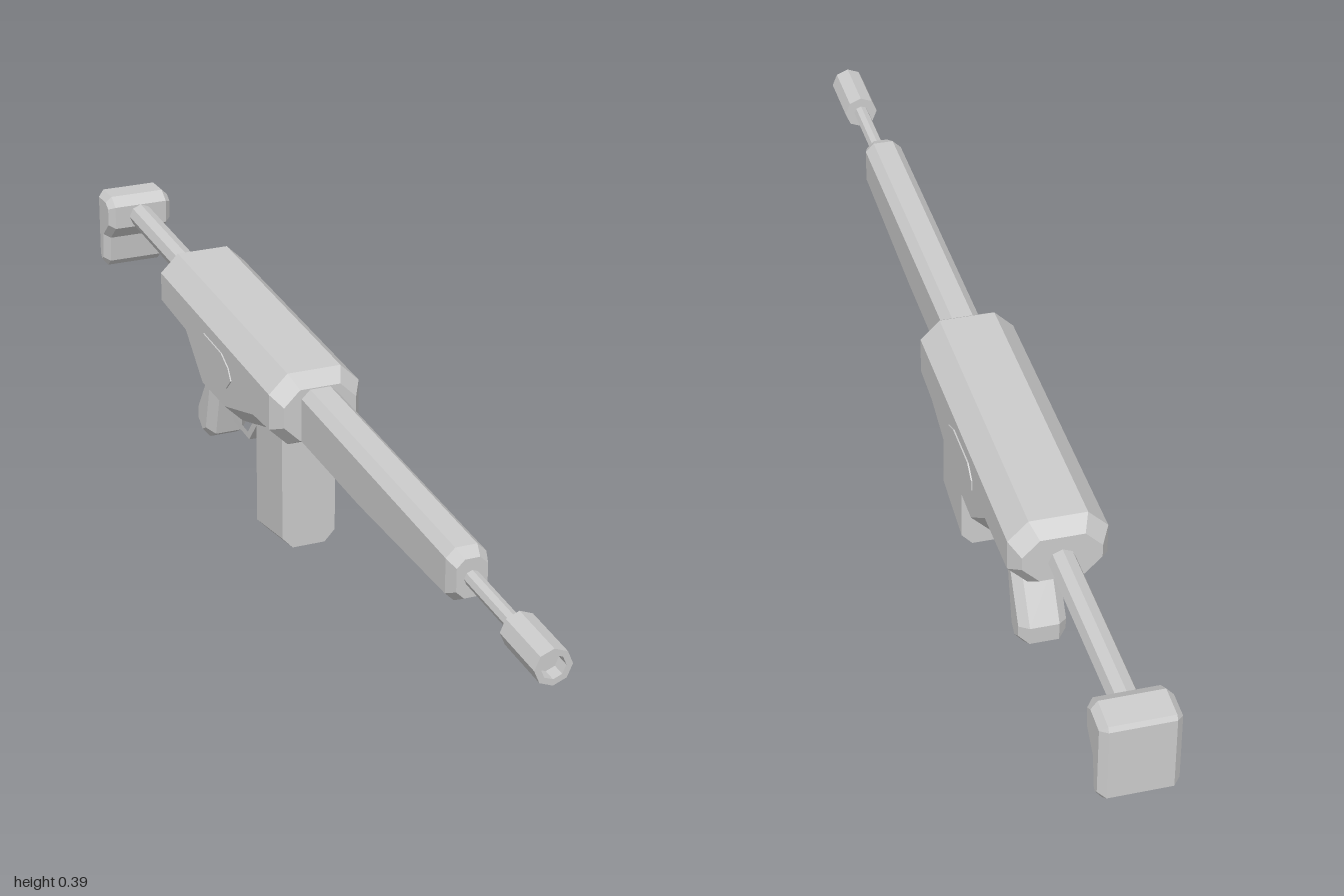
import * as THREE from 'three';

const material = new THREE.MeshStandardMaterial({ color: 0xcccccc, flatShading: true });

// Loft along z through chamfered rectangles: [z, halfWidth, top, bottom, chamfer], front to back
function loft(sections) {
  const positions = [];
  const rings = sections.map(([z, w, t, b, c]) => [
    [w, b + c], [w, t - c], [w - c, t], [c - w, t],
    [-w, t - c], [-w, b + c], [c - w, b], [w - c, b],
  ].map(([x, y]) => [x, y, z]));
  const tri = (...points) => points.forEach((p) => positions.push(...p));
  const last = rings[rings.length - 1];
  for (let i = 0; i < 8; i++) {
    const j = (i + 1) % 8;
    for (let s = 0; s < rings.length - 1; s++) {
      const front = rings[s], back = rings[s + 1];
      tri(front[i], back[i], front[j]);
      tri(front[j], back[i], back[j]);
    }
    if (i > 0 && i < 7) {
      tri(rings[0][0], rings[0][i], rings[0][j]);
      tri(last[0], last[j], last[i]);
    }
  }
  const geometry = new THREE.BufferGeometry();
  geometry.setAttribute('position', new THREE.Float32BufferAttribute(positions, 3));
  geometry.computeVertexNormals();
  return geometry;
}

// Side profile of [z, y] points extruded across x, with an optional chamfer
function sideProfile(points, width, bevel = 0, hole = null) {
  const toVectors = (list) => list.map(([z, y]) => new THREE.Vector2(z, y));
  const shape = new THREE.Shape(toVectors(points));
  if (hole) shape.holes.push(new THREE.Path(toVectors(hole)));
  const depth = width - 2 * bevel;
  const geometry = new THREE.ExtrudeGeometry(shape, {
    depth, bevelEnabled: bevel > 0, bevelThickness: bevel,
    bevelSize: bevel, bevelOffset: -bevel, bevelSegments: 1,
  });
  return geometry.translate(0, 0, -depth / 2).rotateY(-Math.PI / 2);
}

// Octagonal turned part along z from [radius, z] points, back to front
function turned(points, y = 0.32) {
  return new THREE.LatheGeometry(points.map(([r, z]) => new THREE.Vector2(r, z)), 8)
    .rotateX(Math.PI / 2).translate(0, y, 0);
}

export function createModel() {
  const model = new THREE.Group();
  const add = (name, geometry) => {
    const mesh = new THREE.Mesh(geometry, material);
    mesh.name = name;
    model.add(mesh);
  };

  // Main body, deeper below the middle
  add('receiver', loft([
    [0.07, 0.068, 0.367, 0.268, 0.03],
    [0.04, 0.085, 0.388, 0.25, 0.035],
    [-0.04, 0.085, 0.388, 0.243, 0.035],
    [-0.19, 0.085, 0.388, 0.192, 0.035],
    [-0.31, 0.085, 0.388, 0.188, 0.035],
    [-0.40, 0.085, 0.388, 0.258, 0.035],
    [-0.54, 0.085, 0.388, 0.262, 0.035],
    [-0.568, 0.068, 0.367, 0.283, 0.03],
  ]));
  // Shallow panels on both sides
  add('sidePanels', sideProfile([
    [-0.15, 0.295], [-0.175, 0.27], [-0.295, 0.27], [-0.32, 0.29],
    [-0.32, 0.31], [-0.295, 0.33], [-0.2, 0.33], [-0.165, 0.315],
  ], 0.175));

  // Front end
  add('handguard', loft([
    [0.71, 0.027, 0.355, 0.285, 0.014],
    [0.685, 0.035, 0.365, 0.27, 0.016],
    [0.33, 0.035, 0.365, 0.253, 0.016],
    [0.04, 0.035, 0.365, 0.25, 0.016],
  ]));
  add('barrel', turned([[0, 0.68], [0.014, 0.68], [0.014, 0.9], [0, 0.9]]));
  add('muzzle', turned([
    [0, 0.88], [0.032, 0.88], [0.032, 1], [0.021, 1], [0.021, 0.975], [0, 0.975],
  ]));

  // Magazine: chamfered lower corners, sloping bottom
  const column = new THREE.Shape([
    [-0.051, 0.27], [-0.051, 0.022], [-0.031, 0], [0.031, 0], [0.051, 0.022], [0.051, 0.27],
  ].map(([x, y]) => new THREE.Vector2(x, y)));
  const magazine = new THREE.ExtrudeGeometry(column, { depth: 0.13, bevelEnabled: false });
  magazine.translate(0, 0, -0.115);
  const corners = magazine.attributes.position;
  for (let i = 0; i < corners.count; i++) {
    if (corners.getY(i) < 0.1 && corners.getZ(i) > 0) corners.setY(i, corners.getY(i) + 0.025);
  }
  magazine.computeVertexNormals();
  add('magazine', magazine);

  // Grip and trigger
  add('grip', sideProfile([
    [-0.32, 0.26], [-0.35, 0.19], [-0.38, 0.155], [-0.405, 0.06], [-0.438, 0.04],
    [-0.475, 0.065], [-0.477, 0.1], [-0.425, 0.18], [-0.385, 0.27],
  ], 0.084, 0.016));
  add('triggerGuard', sideProfile(
    [[-0.195, 0.21], [-0.2, 0.178], [-0.25, 0.118], [-0.335, 0.118], [-0.37, 0.18], [-0.37, 0.21]],
    0.03, 0,
    [[-0.215, 0.2], [-0.216, 0.18], [-0.257, 0.131], [-0.328, 0.131], [-0.355, 0.18], [-0.355, 0.2]],
  ));
  add('trigger', sideProfile(
    [[-0.275, 0.21], [-0.283, 0.175], [-0.28, 0.15], [-0.293, 0.15], [-0.3, 0.175], [-0.298, 0.21]], 0.018,
  ));

  // Stock
  add('stockTube', turned([[0, -0.95], [0.024, -0.95], [0.024, -0.54], [0, -0.54]], 0.318));
  add('buttPlate', sideProfile([
    [-0.915, 0.342], [-0.94, 0.357], [-0.995, 0.353], [-1, 0.345], [-1, 0.21],
    [-0.978, 0.192], [-0.96, 0.208], [-0.953, 0.262], [-0.917, 0.295],
  ], 0.132, 0.012));

  return model;
}
